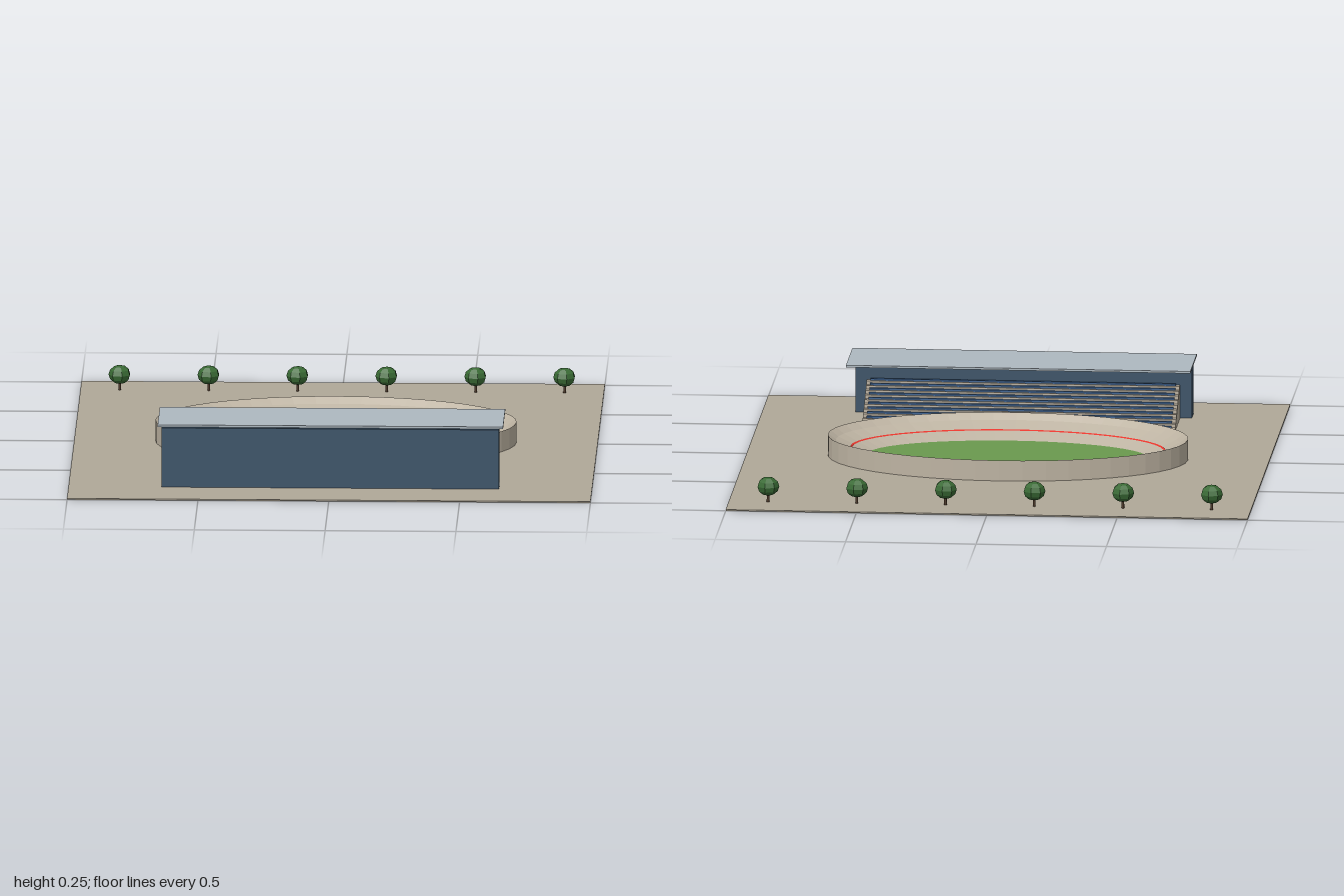
import * as THREE from 'three';

const mat = (name, color, flatShading = false) => {
  const m = new THREE.MeshStandardMaterial({ color, flatShading });
  m.name = name;
  return m;
};

// Elliptical ring swept from a profile of [offset from the infield edge, height]
function ellipseLoft(profile, segments = 48) {
  const A = 0.54, B = 0.27, pos = [];
  const point = (i, j) => {
    const a = (i % segments) / segments * Math.PI * 2;
    const [d, y] = profile[j];
    return [(A + d) * Math.cos(a), y, (B + d) * Math.sin(a)];
  };
  for (let i = 0; i < segments; i++) {
    for (let j = 0; j < profile.length - 1; j++) {
      const p = point(i, j), q = point(i + 1, j), r = point(i + 1, j + 1), s = point(i, j + 1);
      pos.push(...p, ...q, ...s, ...q, ...r, ...s);
    }
  }
  const g = new THREE.BufferGeometry();
  g.setAttribute('position', new THREE.Float32BufferAttribute(pos, 3));
  g.computeVertexNormals();
  return g;
}

export function createModel() {
  const root = new THREE.Group();
  root.name = 'cyclingTrackGrounds';

  const paving = mat('paving', 0xb0a898);
  const concrete = mat('concrete', 0xbdb3a2);
  const grass = mat('grass', 0x6a994e);
  const red = mat('redLine', 0xe6332a);
  const navy = mat('navyWall', 0x3d5469);
  const roofGrey = mat('roofGrey', 0xaeb8c0);
  const seatBlue = mat('seatBlue', 0x3f6594);
  const leaf = mat('leafGreen', 0x3a6b35, true);
  const bark = mat('bark', 0x4a3626);

  const add = (parent, name, geometry, material, x = 0, y = 0, z = 0) => {
    const m = new THREE.Mesh(geometry, material);
    m.name = name;
    m.position.set(x, y, z);
    parent.add(m);
    return m;
  };
  // Box given by its size and the limits it starts from in y and z
  const block = (parent, name, material, w, y0, y1, z0, z1) =>
    add(parent, name, new THREE.BoxGeometry(w, y1 - y0, z1 - z0), material, 0, (y0 + y1) / 2, (z0 + z1) / 2);

  block(root, 'ground', paving, 2, 0, 0.005, -1, 1);

  // Banked oval track with its outer wall
  const track = new THREE.Group();
  track.name = 'track';
  root.add(track);
  add(track, 'bankedTrack', ellipseLoft([[0, 0.008], [0.06, 0.034], [0.12, 0.062], [0.15, 0.085], [0.15, 0.002]]), concrete);
  add(track, 'trackLine', ellipseLoft([[0.057, 0.0345], [0.064, 0.0378]]), red);
  const infield = add(track, 'infield', new THREE.CircleGeometry(1, 48), grass, 0, 0.008, 0);
  infield.rotation.x = -Math.PI / 2;
  infield.scale.set(0.54, 0.27, 1);

  // Grandstand facing the track
  const stand = new THREE.Group();
  stand.name = 'grandstand';
  root.add(stand);
  const rows = 10, depth = 0.022, rise = 0.0135;
  for (let i = 0; i < rows; i++) {
    const z = 0.5 + i * depth, y = (i + 1) * rise;
    block(stand, 'standStep', concrete, 1.2, 0.002, y, z, z + depth);
    block(stand, 'seatRow', seatBlue, 1.17, y, y + 0.007, z + 0.008, z + 0.02);
  }
  block(stand, 'rearWall', navy, 1.29, 0.001, 0.237, 0.73, 0.797);
  block(stand, 'canopy', roofGrey, 1.32, 0.237, 0.245, 0.475, 0.78);

  // Row of small trees along the far edge
  const trunkGeo = new THREE.CylinderGeometry(0.005, 0.006, 0.045, 6);
  const crownGeo = new THREE.SphereGeometry(0.043, 7, 6);
  for (let i = 0; i < 6; i++) {
    const tree = new THREE.Group();
    tree.name = 'tree';
    tree.position.set(-0.85 + i * 0.34, 0, -0.85);
    add(tree, 'trunk', trunkGeo, bark, 0, 0.025, 0);
    add(tree, 'crown', crownGeo, leaf, 0, 0.066, 0).scale.y = 0.85;
    root.add(tree);
  }
  return root;
}
